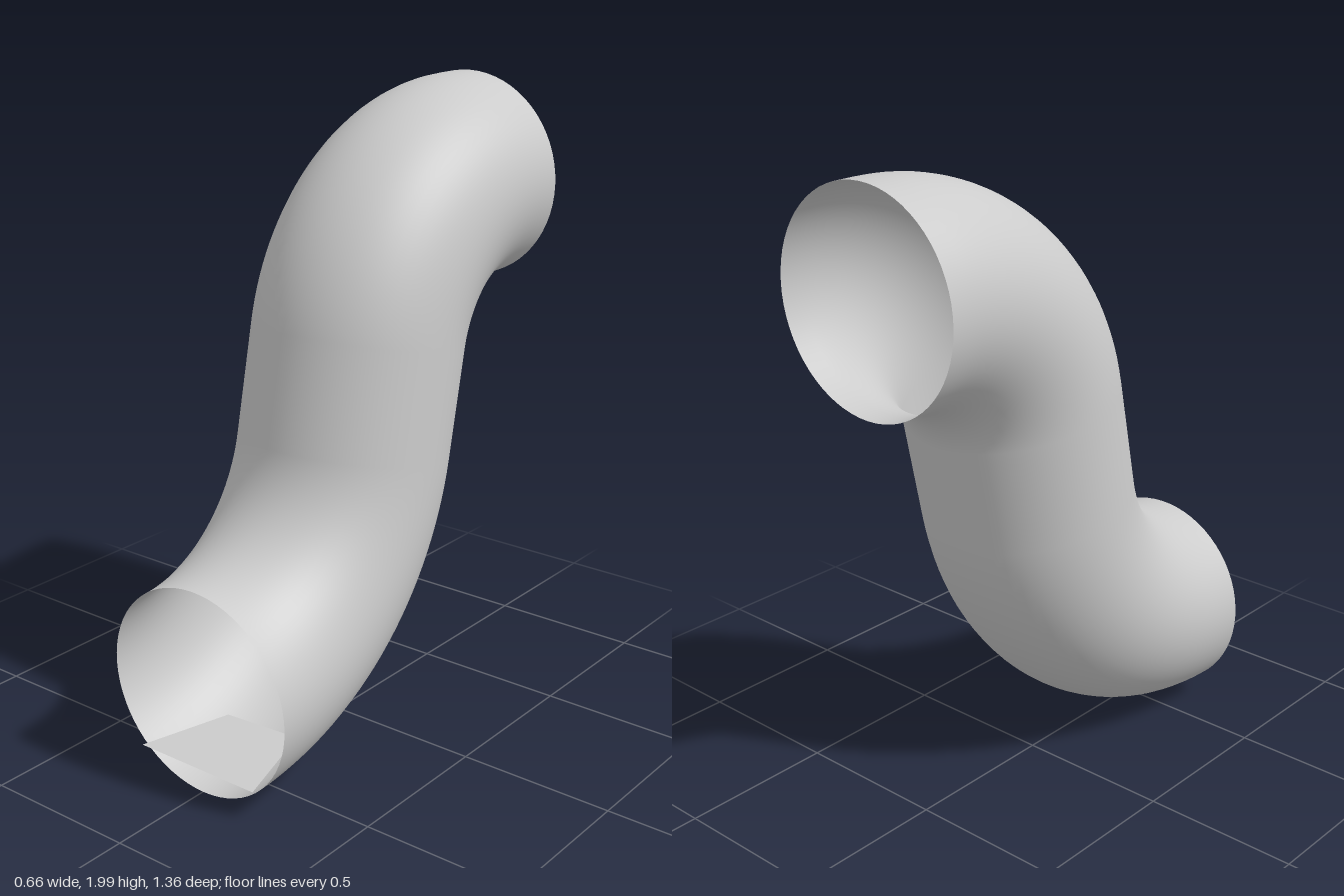
import * as THREE from 'three';

const RADIUS = 0.33;
const STEEP = THREE.MathUtils.degToRad(78); // slope of the middle run
const START = THREE.MathUtils.degToRad(2); // slight tilt of the front mouth

// Centreline stations { z, y, slope }: lower bend, straight run, upper bend, short straight end
function centreline() {
  const stations = [];
  const steps = 28;
  for (let i = 0; i <= steps; i++) {
    const s = START + (STEEP - START) * i / steps;
    stations.push({ z: 0.69 - 0.73 * Math.sin(s), y: 1.066 - 0.73 * Math.cos(s), s });
  }
  for (let i = 0; i <= steps; i++) {
    const s = STEEP * (1 - i / steps);
    stations.push({ z: -0.61 + 0.525 * Math.sin(s), y: 1.145 + 0.525 * Math.cos(s), s });
  }
  stations.push({ z: -0.68, y: 1.67, s: 0 });
  return stations;
}

// Sweep a circle along the stations by bending a grid, with exact smooth normals
function pipeGeometry(stations, sides = 64) {
  const geo = new THREE.PlaneGeometry(1, 1, sides, stations.length - 1);
  const pos = geo.attributes.position;
  const normal = geo.attributes.normal;
  stations.forEach(({ z, y, s }, row) => {
    for (let i = 0; i <= sides; i++) {
      const a = (i / sides) * Math.PI * 2;
      const nx = Math.cos(a);
      const ny = Math.sin(a) * Math.cos(s);
      const nz = Math.sin(a) * Math.sin(s);
      const k = row * (sides + 1) + i;
      pos.setXYZ(k, RADIUS * nx, y + RADIUS * ny, z + RADIUS * nz);
      normal.setXYZ(k, nx, ny, nz);
    }
  });
  return geo;
}

export function createModel() {
  const group = new THREE.Group();
  group.name = 'bentPipe';
  const material = new THREE.MeshStandardMaterial({ color: 0xcccccc, side: THREE.DoubleSide });

  // Open-ended S-shaped pipe
  const pipe = new THREE.Mesh(pipeGeometry(centreline()), material);
  pipe.name = 'pipe';
  group.add(pipe);

  // Thin flat plate lying in the lower mouth, ending where it meets the pipe floor
  const outline = new THREE.Shape([[-0.22, -0.68], [0.22, -0.68], [0.12, -0.36], [-0.14, -0.38]]
    .map(([x, y]) => new THREE.Vector2(x, y)));
  const plate = new THREE.Mesh(new THREE.ShapeGeometry(outline).rotateX(-Math.PI / 2), material);
  plate.name = 'mouthPlate';
  plate.position.y = 0.1;
  group.add(plate);

  return group;
}
